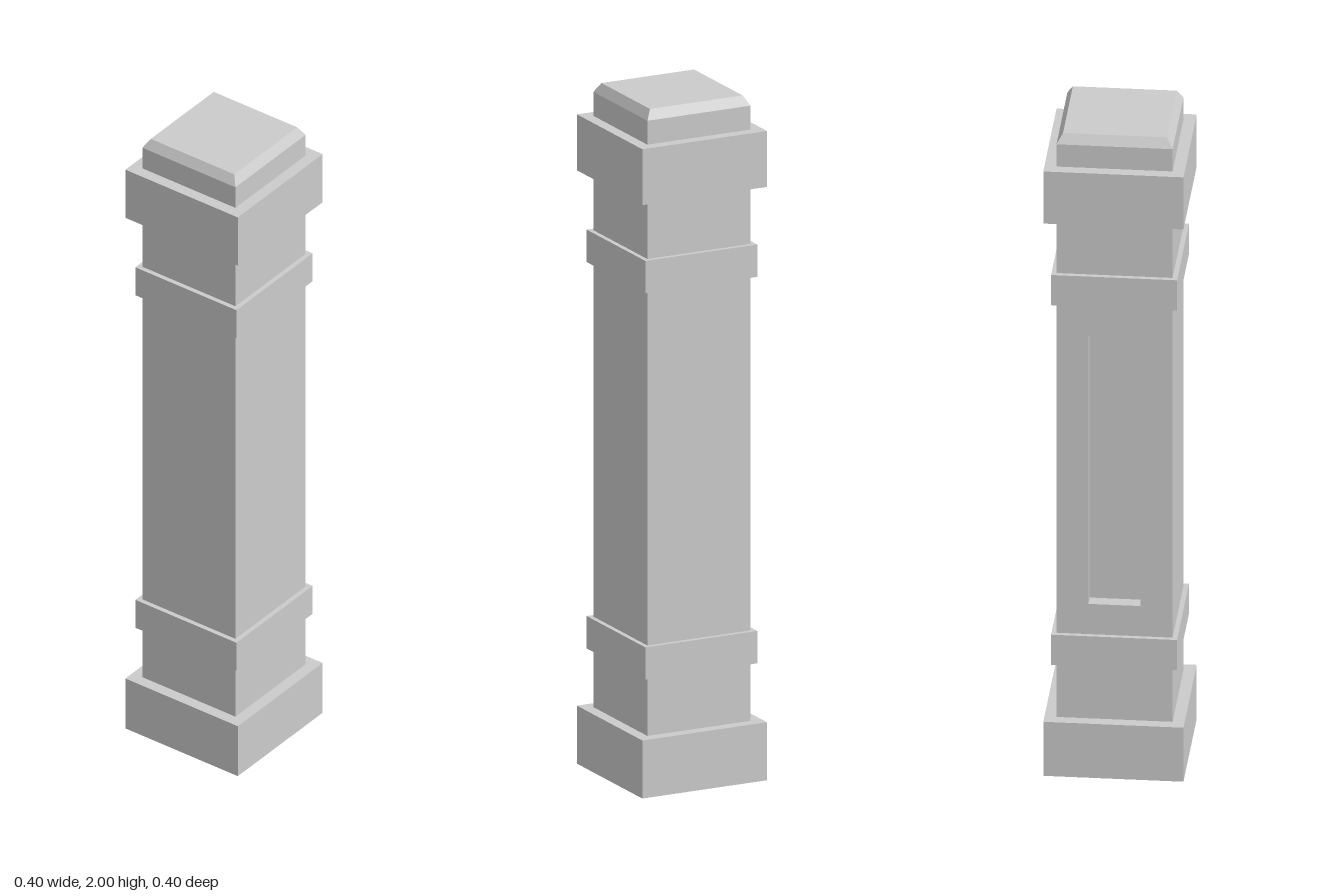
import * as THREE from 'three';

const material = new THREE.MeshStandardMaterial({ color: 0xcccccc, flatShading: true });

const SHAFT = 0.164;                          // half width of the shaft
const SHAFT_BOTTOM = 0.17, SHAFT_TOP = 1.738;
const PANEL = { half: 0.074, bottom: 0.53, top: 1.375, depth: 0.04 };

function add(parent, name, geometry) {
  const mesh = new THREE.Mesh(geometry, material);
  mesh.name = name;
  parent.add(mesh);
  return mesh;
}

// Square block given by half width and bottom and top heights
function block(half, y0, y1) {
  return new THREE.BoxGeometry(2 * half, y1 - y0, 2 * half).translate(0, (y0 + y1) / 2, 0);
}

// Remove the back (-z) face of a box, which comes last in its index
function openBack(geometry) {
  geometry.setIndex(Array.from(geometry.index.array).slice(0, -6));
  geometry.clearGroups();
  return geometry;
}

// Turn a geometry inside out
function invert(geometry) {
  geometry.setIndex(Array.from(geometry.index.array).reverse());
  geometry.computeVertexNormals();
  return geometry;
}

function rectangle(path, half, y0, y1) {
  path.moveTo(-half, y0);
  path.lineTo(half, y0);
  path.lineTo(half, y1);
  path.lineTo(-half, y1);
  path.closePath();
  return path;
}

export function createModel() {
  const post = new THREE.Group();
  post.name = 'post';

  // Shaft with a sunken panel in its back face
  const shaft = new THREE.Group();
  shaft.name = 'shaft';
  post.add(shaft);
  add(shaft, 'shaftBody', openBack(block(SHAFT, SHAFT_BOTTOM, SHAFT_TOP)));

  const face = rectangle(new THREE.Shape(), SHAFT, SHAFT_BOTTOM, SHAFT_TOP);
  face.holes.push(rectangle(new THREE.Path(), PANEL.half, PANEL.bottom, PANEL.top));
  add(shaft, 'shaftBack', new THREE.ShapeGeometry(face).rotateY(Math.PI).translate(0, 0, -SHAFT));

  const recess = new THREE.BoxGeometry(2 * PANEL.half, PANEL.top - PANEL.bottom, PANEL.depth);
  recess.translate(0, (PANEL.bottom + PANEL.top) / 2, -SHAFT + PANEL.depth / 2);
  add(shaft, 'panelRecess', invert(openBack(recess)));

  // Plinth, trim bands and collar
  add(post, 'base', block(0.198, 0, SHAFT_BOTTOM));
  add(post, 'lowerBand', block(0.178, 0.34, 0.435));
  add(post, 'upperBand', block(0.178, 1.472, 1.567));
  add(post, 'collar', block(0.198, SHAFT_TOP, 1.902));

  // Cap with a chamfered top
  const cap = new THREE.Group();
  cap.name = 'cap';
  post.add(cap);
  add(cap, 'capBlock', block(SHAFT, 1.902, 1.972));
  const chamfer = new THREE.CylinderGeometry(0.147 * Math.SQRT2, SHAFT * Math.SQRT2, 0.028, 4);
  add(cap, 'capChamfer', chamfer.rotateY(Math.PI / 4).translate(0, 1.986, 0));

  return post;
}
